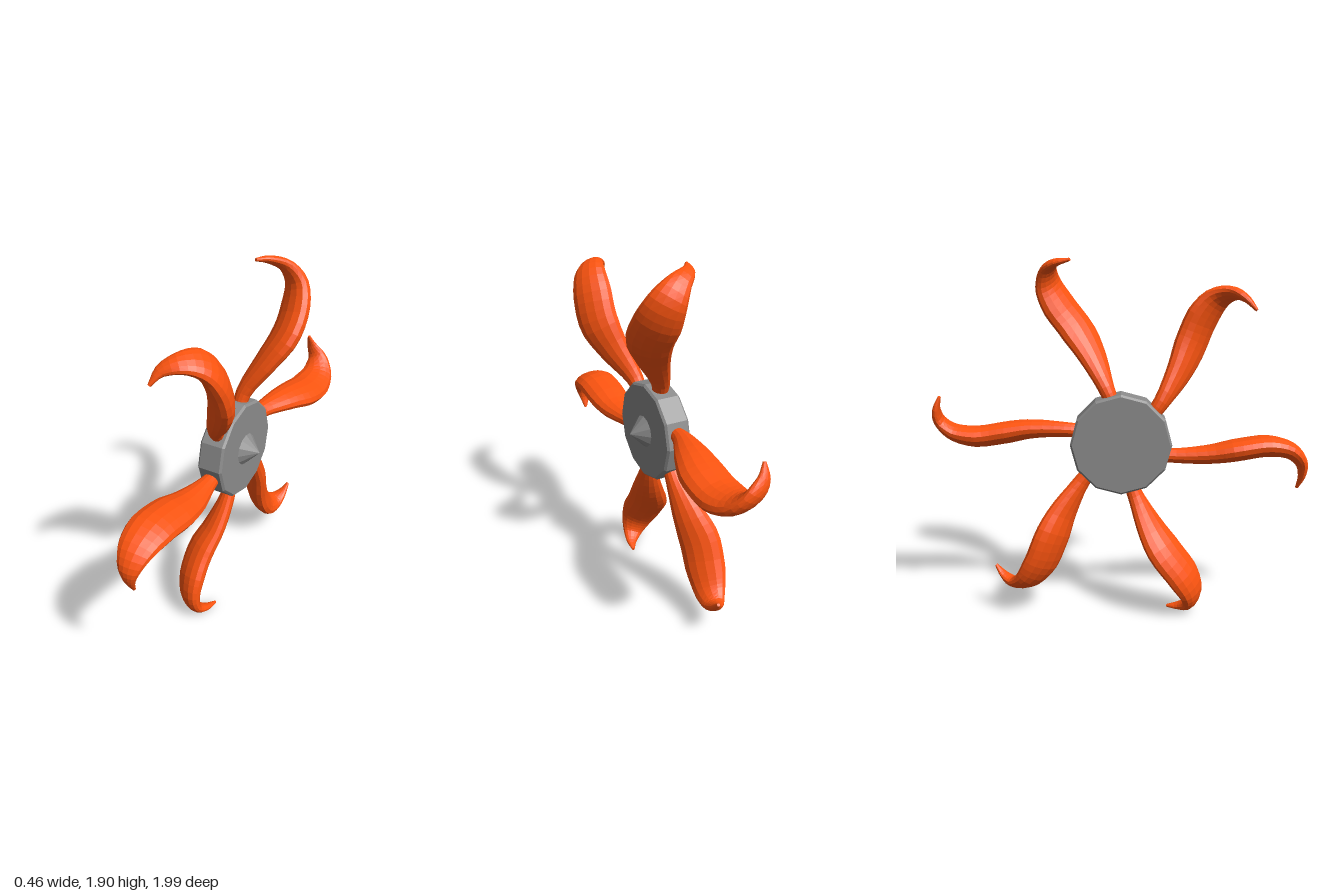
import * as THREE from 'three';

const AXIS_Y = 0.973;

// Blade stations: r outward, t sideways in the wheel plane, x base offset,
// bow / dip = extra x / t for leaning blades, w / h = half width / half thickness
const STATIONS = [
  [0.20, -0.065, -0.03, 0.0, 0.0, 0.036, 0.036],
  [0.30, -0.07, -0.025, 0.01, 0.01, 0.05, 0.04],
  [0.48, -0.06, 0.0, 0.075, 0.035, 0.092, 0.052],
  [0.63, -0.03, 0.01, 0.13, 0.06, 0.116, 0.06],
  [0.78, -0.01, 0.01, 0.135, 0.062, 0.114, 0.058],
  [0.90, -0.04, 0.005, 0.115, 0.04, 0.092, 0.046],
  [0.963, -0.11, -0.01, 0.07, 0.012, 0.06, 0.032],
  [0.968, -0.18, -0.03, 0.015, 0.0, 0.034, 0.02],
  [0.945, -0.25, -0.035, -0.015, 0.0, 0.008, 0.008],
];

// Leaf-like blade swept along a hooked spine; lean (-1..1) bows it along x,
// tilt rolls its broad side
function bladeGeometry(lean, tilt) {
  const rings = 26, sides = 14;
  const spine = new THREE.CatmullRomCurve3(STATIONS.map(([r, t, x, bow, dip]) =>
    new THREE.Vector3(x + bow * lean, t - dip * lean * lean, r)));
  const size = new THREE.CatmullRomCurve3(
    STATIONS.map(([, , , , , w, h]) => new THREE.Vector3(w, h, 0)));
  const pos = [], index = [];
  for (let i = 0; i <= rings + 1; i++) {
    const u = Math.min(i / rings, 1);
    const c = spine.getPoint(u), T = spine.getTangent(u), s = size.getPoint(u);
    if (i > rings) s.set(0, 0, 0); // closes the tip
    const W = new THREE.Vector3(Math.cos(tilt), Math.sin(tilt), 0);
    W.addScaledVector(T, -W.dot(T)).normalize();
    const N = new THREE.Vector3().crossVectors(T, W);
    for (let j = 0; j < sides; j++) {
      const a = (j / sides) * Math.PI * 2;
      const p = c.clone().addScaledVector(W, Math.cos(a) * s.x).addScaledVector(N, Math.sin(a) * s.y);
      pos.push(p.x, p.y, p.z);
      if (i > rings) continue;
      const k = (j + 1) % sides, A = i * sides + j, B = i * sides + k;
      index.push(A, B, B + sides, A, B + sides, A + sides);
    }
  }
  const g = new THREE.BufferGeometry();
  g.setAttribute('position', new THREE.Float32BufferAttribute(pos, 3));
  g.setIndex(index);
  g.computeVertexNormals();
  return g;
}

export function createModel() {
  const model = new THREE.Group();
  model.name = 'bladedWheel';
  const wheel = new THREE.Group();
  wheel.name = 'wheel';
  wheel.position.y = AXIS_Y;
  model.add(wheel);

  const grey = new THREE.MeshStandardMaterial({ color: 0x8c8c8c, flatShading: true });
  const orange = new THREE.MeshStandardMaterial({ color: 0xff5510, flatShading: true });

  // Twelve-sided hub with bevelled rims, axis turned onto x
  const hubProfile = [[0, -0.1], [0.257, -0.1], [0.268, -0.089], [0.268, 0.029], [0.257, 0.04], [0, 0.04]]
    .map(([r, y]) => new THREE.Vector2(r, y));
  const hub = new THREE.Mesh(new THREE.LatheGeometry(hubProfile, 12), grey);
  hub.name = 'hub';
  hub.rotation.z = -Math.PI / 2;
  wheel.add(hub);

  // Pointed cap on the hub face
  const cap = new THREE.Mesh(new THREE.ConeGeometry(0.09, 0.085, 12), grey);
  cap.name = 'hubCap';
  cap.rotation.z = -Math.PI / 2;
  cap.position.x = 0.08;
  wheel.add(cap);

  // Six blades; upper ones bow to +x, lower ones to -x
  for (let k = 0; k < 6; k++) {
    const angle = (k * Math.PI) / 3;
    const s = Math.sin(angle - 0.21);
    const lean = Math.sign(s) * Math.abs(s) ** 0.7;
    const tilt = -0.88 * Math.sin(angle + 0.2);
    const blade = new THREE.Mesh(bladeGeometry(lean, tilt), orange);
    blade.name = 'blade' + (k + 1);
    blade.rotation.x = -angle;
    wheel.add(blade);
  }
  return model;
}
